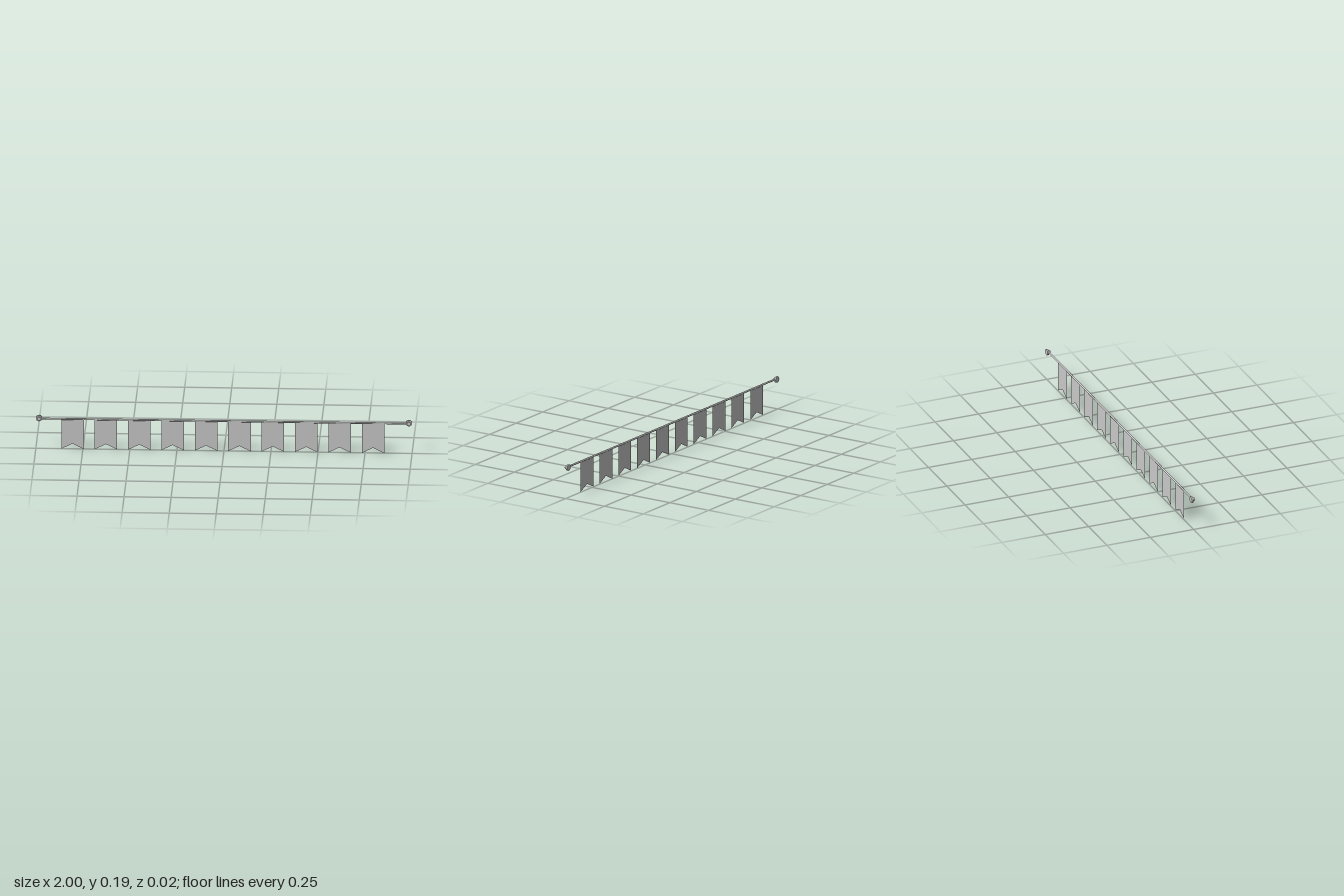
import * as THREE from 'three';

export function createModel() {
  const group = new THREE.Group();
  group.name = 'bunting';
  const material = new THREE.MeshStandardMaterial({ color: 0xcccccc });
  const clothMaterial = new THREE.MeshStandardMaterial({ color: 0xcccccc, side: THREE.DoubleSide });

  const cordY = 0.169, cordZ = 0.003, endX = 0.983;

  function add(name, geometry, x, y, z, mat = material) {
    const mesh = new THREE.Mesh(geometry, mat);
    mesh.name = name;
    mesh.position.set(x, y, z);
    group.add(mesh);
  }

  // Straight cord between the two wall mounts
  add('cord', new THREE.CylinderGeometry(0.005, 0.005, endX * 2, 12).rotateZ(Math.PI / 2), 0, cordY, cordZ);

  // Wall mounts: a flat disc with a small peg that holds the cord
  const plate = new THREE.CylinderGeometry(0.017, 0.017, 0.009, 24).rotateX(Math.PI / 2);
  const peg = new THREE.CylinderGeometry(0.0095, 0.0095, 0.011, 20).rotateX(Math.PI / 2);
  for (const [side, label] of [[1, 'left'], [-1, 'right']]) {
    add(label + 'MountPlate', plate, side * endX, cordY, -0.005);
    add(label + 'MountPeg', peg, side * endX, cordY, 0.005);
  }

  // Swallowtail flag, hanging down from the cord
  const half = 0.06;
  const outline = new THREE.Shape();
  outline.moveTo(-half, 0);
  outline.lineTo(0, 0.03);
  outline.lineTo(half, 0);
  outline.lineTo(half, cordY);
  outline.lineTo(-half, cordY);
  outline.closePath();
  const flag = new THREE.ShapeGeometry(outline);

  const count = 10, spacing = 0.1775;
  for (let i = 0; i < count; i++) {
    add('flag' + (i + 1), flag, (i - (count - 1) / 2) * spacing - 0.006, 0, cordZ, clothMaterial);
  }
  return group;
}
